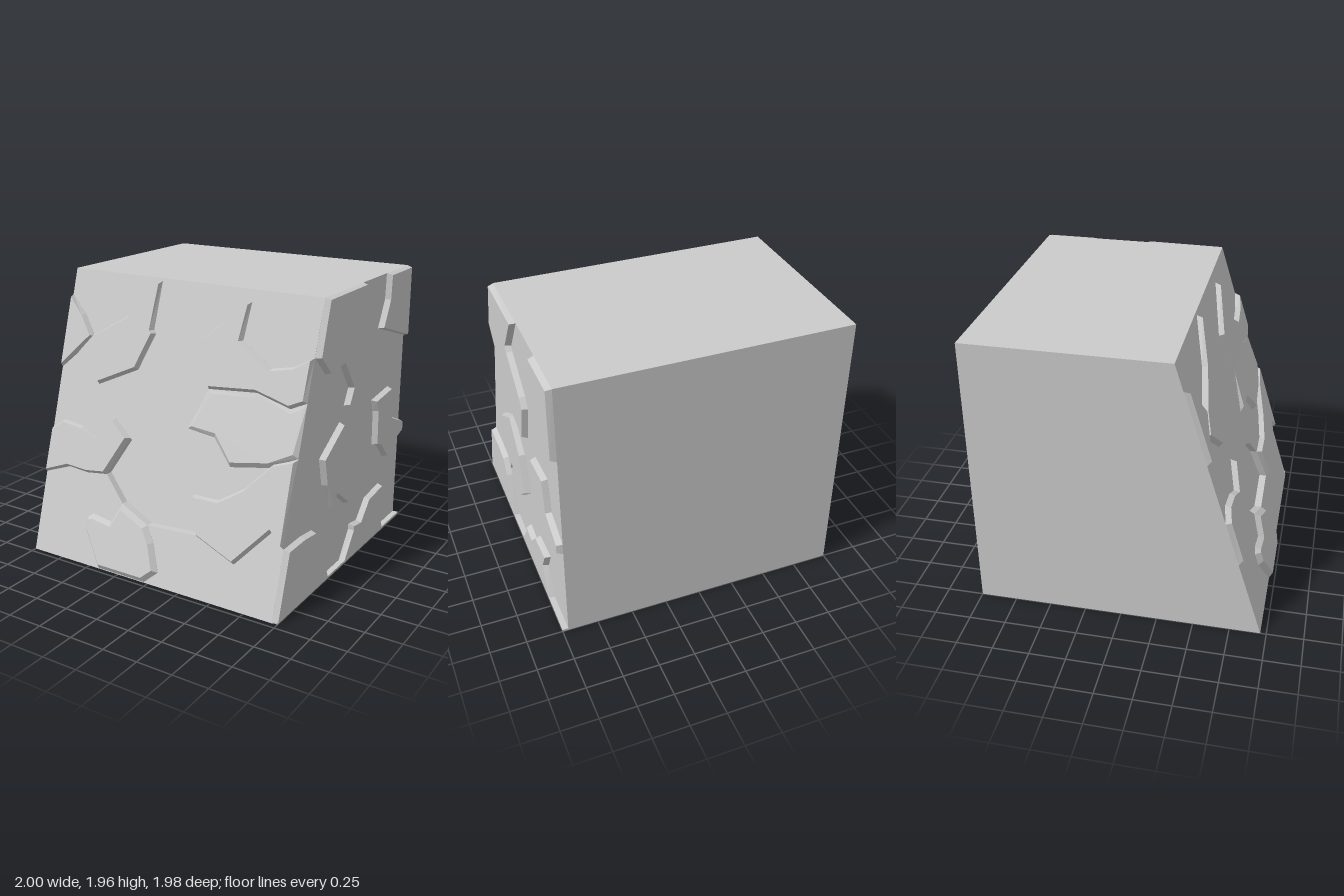
import * as THREE from 'three';

const H = 1.96, FRONT = 0.96, SIDE = 0.96, SLOPE = 0.311, RECESS = 0.05;
const TILT = Math.atan(SLOPE);
const material = new THREE.MeshStandardMaterial({ color: 0xcccccc, flatShading: true });

const shapeOf = (pts) => new THREE.Shape(pts.map(([x, y]) => new THREE.Vector2(x, y)));

function addMesh(group, name, geometry) {
  const mesh = new THREE.Mesh(geometry, material);
  mesh.name = name;
  group.add(mesh);
}

// Chamfered plate whose full outline lies at z = 0 and whose inset top lies at z = h
function plate(pts, h, bevel) {
  return new THREE.ExtrudeGeometry(shapeOf(pts), {
    depth: 0.001, bevelEnabled: true, bevelSegments: 1,
    bevelThickness: h, bevelSize: bevel, bevelOffset: -bevel,
  });
}

// Plate on the sloping front; outline given as seen from the front (x, y)
function frontPlate(pts, h, bevel, fade) {
  const g = plate(pts.map(([x, y]) => [x, y / Math.cos(TILT)]), h, bevel);
  if (fade) {
    // sink the upper part gradually into the face
    const p = g.attributes.position;
    for (let i = 0; i < p.count; i++) {
      const k = THREE.MathUtils.clamp((1.42 - p.getY(i)) / 0.45, 0.1, 1);
      p.setZ(i, p.getZ(i) * k);
    }
    g.computeVertexNormals();
  }
  return g.rotateX(-TILT).translate(0, 0, FRONT);
}

// Plate on the left flank; outline given as (z, y)
function sidePlate(pts) {
  const g = plate(pts.map(([z, y]) => [-z, y]), 0.04, 0.012);
  return g.rotateY(Math.PI / 2).translate(SIDE, 0, 0);
}

const hollow = [[-0.32, 0.9], [-0.22, 0.84], [0.02, 0.84], [0.12, 0.79], [0.25, 0.64],
  [0.32, 0.39], [-0.07, 0.37], [-0.3, 0.465], [-0.47, 0.63]];

const frontStones = [
  { name: 'frontStoneUpperLeft', pts: [[-1, 1.78], [-0.86, 1.66], [-0.75, 1.52], [-0.87, 1.4], [-1, 1.28]] },
  { name: 'frontStoneTop', pts: [[-0.87, 1.4], [-0.76, 1.53], [-0.48, 1.69], [-0.25, 1.94], [-0.26, 1.62],
    [-0.24, 1.6], [-0.34, 1.35], [-0.65, 1.21]] },
  { name: 'frontStoneUpperRight', pts: [[0.14, 1.62], [0.46, 1.88], [0.44, 1.64], [0.68, 1.5], [0.83, 1.53],
    [0.96, 1.6], [0.96, 1.33], [0.85, 1.28], [0.6, 1.34], [0.24, 1.31]] },
  { name: 'frontStoneFading', bevel: 0.03, fade: true, pts: [[0.24, 1.31], [0.6, 1.34], [0.85, 1.28],
    [0.96, 1.33], [0.96, 1], [0.78, 0.91], [0.49, 0.86], [0.34, 1.02], [0.13, 1.04]] },
  { name: 'frontStoneLowerLeft', pts: [[-1, 0.86], [-0.9, 0.93], [-0.73, 0.91], [-0.61, 0.86], [-0.47, 1.01],
    [-0.32, 0.9], [-0.47, 0.63], [-0.63, 0.61], [-0.8, 0.62], [-1, 0.55]] },
  { name: 'frontStoneLowerRight', pts: [[0.25, 0.64], [0.45, 0.645], [0.62, 0.75], [0.8, 0.94], [0.96, 0.99],
    [0.96, 0.45], [0.86, 0.53], [0.63, 0.28], [0.32, 0.39]] },
  { name: 'frontStoneBase', bevel: 0.03, pts: [[-0.57, 0.32], [-0.53, 0.35], [-0.37, 0.33], [-0.3, 0.465],
    [-0.07, 0.37], [0, 0.27], [0.07, 0.09], [-0.03, 0.005], [-0.42, 0.005], [-0.57, 0.23]] },
];

const sideStones = {
  sideStoneTopFront: [[0.35, 1.96], [-0.22, 1.96], [-0.03, 1.69], [-0.05, 1.66], [-0.31, 1.47], [-0.36, 1.4],
    [-0.29, 1.12], [0.01, 1.17], [-0.05, 1.28], [0.1, 1.48], [0.31, 1.46], [0.46, 1.6]],
  sideStoneTopBack: [[-0.62, 1.96], [-1, 1.96], [-1, 1.44], [-0.51, 1.59], [-0.61, 1.78]],
  sideStoneBack: [[-0.45, 1.08], [-0.74, 1.11], [-0.78, 0.87], [-1, 0.78], [-1, 0.7], [-0.86, 0.66],
    [-0.71, 0.57], [-0.58, 0.7], [-0.5, 0.73], [-0.49, 0.99]],
  sideStoneMiddle: [[0.07, 1.07], [-0.14, 0.87], [-0.23, 0.59], [-0.05, 0.44], [0.14, 0.58], [0.2, 0.5],
    [0.31, 0.7], [0.36, 0.9]],
  sideStoneBottomFront: [[0.96, 0], [0.82, 0.45], [0.6, 0.45], [0.44, 0.43], [0.36, 0.32], [0.23, 0]],
  sideStoneBottomBack: [[0, 0], [-0.15, 0.2], [-0.15, 0.24], [-0.28, 0.22], [-0.41, 0.35], [-0.66, 0.37],
    [-0.59, 0.23], [-0.7, 0]],
};

export function createModel() {
  const group = new THREE.Group();
  group.name = 'rockBlock';

  // Wedge-shaped core, extruded across x from its side profile
  const back = FRONT - RECESS;
  const core = new THREE.ExtrudeGeometry(
    shapeOf([[-back, 0], [1, 0], [1, H], [SLOPE * H - back, H]]),
    { depth: 1 + SIDE, bevelEnabled: false });
  addMesh(group, 'core', core.rotateY(Math.PI / 2).translate(-1, 0, 0));

  // Sloping front layer with one sunken hollow, sheared to follow the core
  const face = shapeOf([[-1, 0], [SIDE, 0], [SIDE, H], [-1, H]]);
  face.holes.push(shapeOf(hollow));
  const layer = new THREE.ExtrudeGeometry(face, { depth: RECESS, bevelEnabled: false });
  const shear = new THREE.Matrix4().set(1, 0, 0, 0, 0, 1, 0, 0, 0, -SLOPE, 1, back, 0, 0, 0, 1);
  addMesh(group, 'frontFace', layer.applyMatrix4(shear));

  // Raised stones on the front and the flank
  for (const { name, pts, bevel = 0.018, fade } of frontStones) {
    addMesh(group, name, frontPlate(pts, 0.035, bevel, fade));
  }
  for (const [name, pts] of Object.entries(sideStones)) addMesh(group, name, sidePlate(pts));

  // Thin lip along the foot of the flank
  const lip = new THREE.BoxGeometry(0.04, 0.015, 1.955);
  addMesh(group, 'footLip', lip.translate(0.98, 0.0075, -0.0225));

  return group;
}
